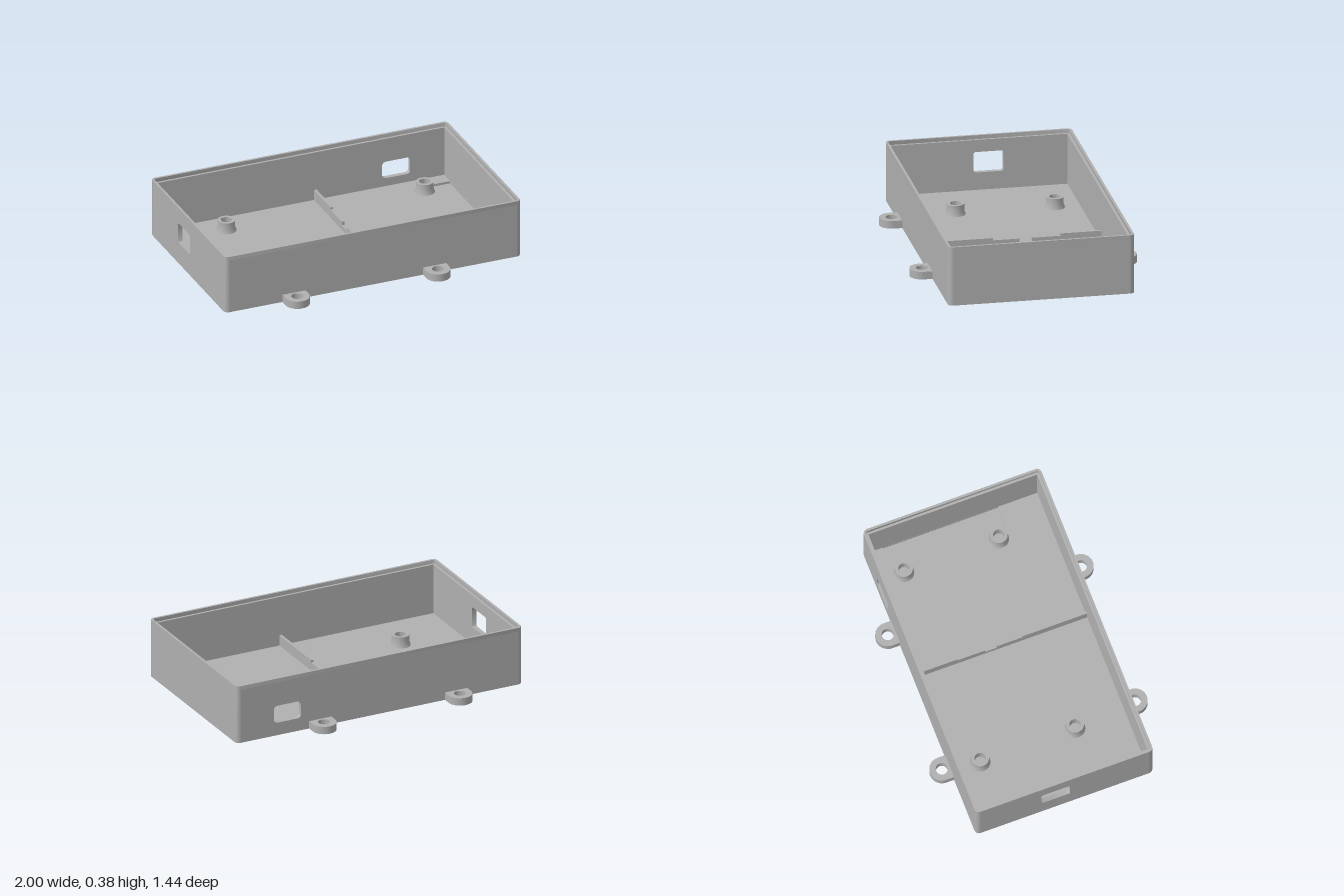
import * as THREE from 'three';
import { toCreasedNormals } from 'three/addons/utils/BufferGeometryUtils.js';

const IX = 0.97, IZ = 0.56, T = 0.03; // inner half sizes, wall and floor thickness
const LEDGE = 0.36, TOP = 0.385;

export function createModel() {
  const model = new THREE.Group();
  const grey = new THREE.MeshStandardMaterial({ color: 0xb0b0b0 });
  grey.name = 'grey plastic';

  const add = (name, geometry, x = 0, y = 0, z = 0) => {
    const mesh = new THREE.Mesh(toCreasedNormals(geometry, 0.6), grey);
    mesh.name = name;
    mesh.position.set(x, y, z);
    model.add(mesh);
    return mesh;
  };

  // Rectangle with optional rounded corners, as a Shape or a hole Path
  const rect = (x0, y0, x1, y1, r = 0, Type = THREE.Shape) => {
    const s = new Type();
    if (!r) {
      s.moveTo(x0, y0).lineTo(x1, y0).lineTo(x1, y1).lineTo(x0, y1).closePath();
      return s;
    }
    s.absarc(x1 - r, y0 + r, r, -Math.PI / 2, 0);
    s.absarc(x1 - r, y1 - r, r, 0, Math.PI / 2);
    s.absarc(x0 + r, y1 - r, r, Math.PI / 2, Math.PI);
    s.absarc(x0 + r, y0 + r, r, Math.PI, Math.PI * 1.5);
    s.closePath();
    return s;
  };
  const extrude = (shape, depth) =>
    new THREE.ExtrudeGeometry(shape, { depth, bevelEnabled: false, curveSegments: 10 });
  // Extruded upwards: shape y becomes -z
  const slab = (shape, height) => extrude(shape, height).rotateX(-Math.PI / 2);

  // Floor with a shallow pocket beside the +x wall
  const floor = rect(-IX, -IZ, IX, IZ);
  floor.holes.push(rect(0.84, -0.3, IX - 0.001, 0.465, 0, THREE.Path));
  add('floor', slab(floor, T));
  add('pocketBottom', slab(rect(0.84, -0.3, IX, 0.465), 0.015));

  // Walls, two of them with a rounded port opening
  const longWall = rect(-IX, 0, IX, LEDGE);
  add('frontWall', extrude(longWall, T), 0, 0, IZ);
  const backWall = longWall.clone();
  backWall.holes.push(rect(0.55, 0.085, 0.74, 0.2, 0.025, THREE.Path));
  add('backWall', extrude(backWall, T), 0, 0, -IZ - T);

  const shortWall = rect(-IZ, 0, IZ, LEDGE);
  add('leftWall', extrude(shortWall, T).rotateY(-Math.PI / 2), IX + T);
  const portWall = shortWall.clone();
  portWall.holes.push(rect(-0.155, 0.145, 0.035, 0.28, 0.015, THREE.Path));
  add('rightWall', extrude(portWall, T).rotateY(-Math.PI / 2), -IX);

  // Rounded outer corners
  [[1, 1], [1, -1], [-1, -1], [-1, 1]].forEach(([sx, sz], i) => {
    const corner = new THREE.CylinderGeometry(T, T, LEDGE, 8, 1, false, i * Math.PI / 2, Math.PI / 2);
    add('wallCorner', corner, sx * IX, LEDGE / 2, sz * IZ);
  });

  // Thin lip standing on the outer half of the wall
  const lip = rect(-IX - T, -IZ - T, IX + T, IZ + T, T);
  const li = 0.015;
  lip.holes.push(rect(-IX - li, -IZ - li, IX + li, IZ + li, li, THREE.Path));
  add('rimLip', slab(lip, TOP - LEDGE), 0, LEDGE, 0);

  // Hollow standoffs with a flared foot
  const post = [[0.064, T], [0.055, 0.055], [0.055, 0.1], [0.035, 0.1], [0.035, T + 0.002], [0, T + 0.002]]
    .map(([r, y]) => new THREE.Vector2(r, y));
  for (const x of [-0.57, 0.77]) {
    for (const z of [-0.4, 0.23]) add('standoff', new THREE.LatheGeometry(post, 32), x, 0, z);
  }

  // Dividing rib, stepped down towards its middle (drawn as z, y)
  const rib = new THREE.Shape([
    [-IZ, T], [IZ, T], [IZ, 0.1], [0.13, 0.1], [0.13, 0.085], [-0.04, 0.085], [-0.04, 0.06],
    [-0.12, 0.06], [-0.12, 0.085], [-0.3, 0.085], [-0.3, 0.1], [-IZ, 0.1],
  ].map(([z, y]) => new THREE.Vector2(z, y)));
  add('dividerRib', extrude(rib, 0.017).rotateY(-Math.PI / 2), 0.107);

  // Mounting lugs with screw holes
  const R = 0.078, reach = 0.642 - IZ - T;
  const lug = new THREE.Shape();
  lug.moveTo(-R, reach).lineTo(-R, 0);
  lug.absarc(0, 0, R, Math.PI, Math.PI * 2);
  lug.lineTo(R, reach).closePath();
  lug.holes.push(new THREE.Path().absarc(0, 0, 0.038, 0, Math.PI * 2, true));
  for (const x of [-0.535, 0.415]) {
    for (const s of [1, -1]) {
      const mesh = add('mountingLug', slab(lug, 0.05), x, 0, s * 0.642);
      if (s < 0) mesh.rotation.y = Math.PI;
    }
  }
  return model;
}
